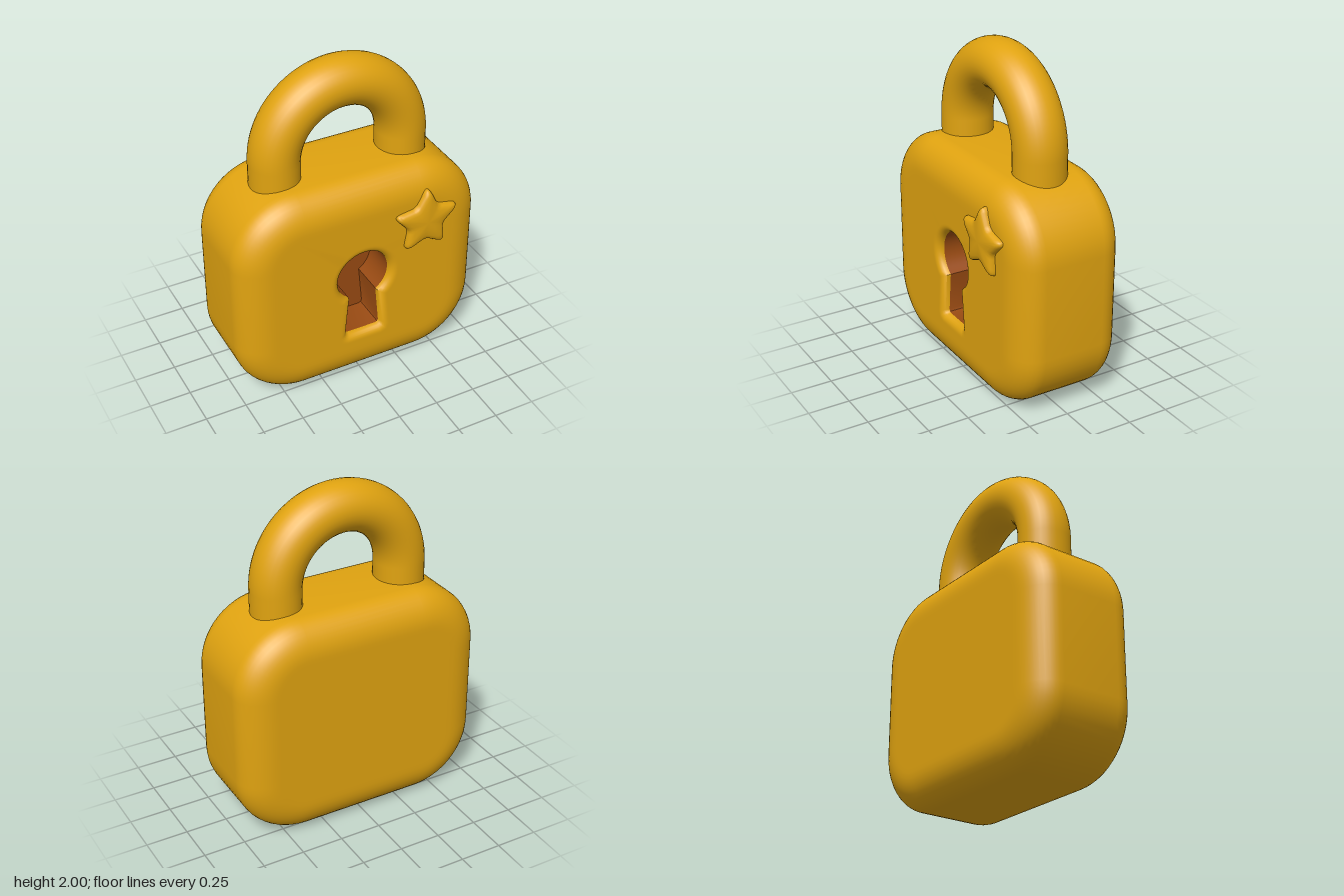
import * as THREE from 'three';
import { mergeGeometries, toCreasedNormals } from 'three/addons/utils/BufferGeometryUtils.js';

const gold = new THREE.MeshStandardMaterial({ color: 0xe0a310 });
gold.name = 'gold';
const brown = new THREE.MeshStandardMaterial({ color: 0x984a12 });
brown.name = 'keyhole brown';

const FRONT = 0.32, BACK = -0.365;

// Skin between closed loops of [x, y, z]; loops run anticlockwise seen from +z.
function loft(rings) {
  const n = rings[0].length, index = [];
  for (let i = 0; i < rings.length - 1; i++) {
    for (let j = 0; j < n; j++) {
      const a = i * n + j, b = i * n + (j + 1) % n;
      index.push(a, b, b + n, a, b + n, a + n);
    }
  }
  const g = new THREE.BufferGeometry();
  g.setAttribute('position', new THREE.Float32BufferAttribute(rings.flat(2), 3));
  g.setIndex(index);
  return g;
}

const at = (loop, z) => loop.map(([x, y]) => [x, y, z]);
const vec = (loop) => loop.map(([x, y]) => new THREE.Vector2(x, y));

// Flat face filling a loop
function cap(loop, z, hole) {
  const shape = new THREE.Shape(vec(loop));
  if (hole) shape.holes.push(new THREE.Path(vec(hole)));
  const g = new THREE.ShapeGeometry(shape).translate(0, 0, z);
  g.deleteAttribute('uv');
  g.deleteAttribute('normal');
  return g;
}

function finish(parts, crease) {
  const g = mergeGeometries(parts.map((p) => p.toNonIndexed()));
  g.computeVertexNormals();
  return toCreasedNormals(g, crease);
}

function mesh(name, geometry, material) {
  const m = new THREE.Mesh(geometry, material);
  m.name = name;
  return m;
}

// Rounded body outline, shrunk by inset
function bodyLoop(inset) {
  const r = 0.4 - inset, pts = [];
  const corners = [[0.37, 0.95], [-0.37, 0.95], [-0.37, 0.405], [0.37, 0.405]];
  corners.forEach(([cx, cy], k) => {
    for (let i = 0; i <= 14; i++) {
      const a = (k + i / 14) * Math.PI / 2;
      pts.push([cx + r * Math.cos(a), cy + r * Math.sin(a)]);
    }
  });
  return pts;
}

// Keyhole outline, grown by e
function keyholeLoop(e) {
  const r = 0.165 + e, a0 = Math.acos((0.09 + e) / r), pts = [];
  for (let i = 0; i <= 36; i++) {
    const a = -a0 + (Math.PI + 2 * a0) * i / 36;
    pts.push([r * Math.cos(a), 0.727 + r * Math.sin(a)]);
  }
  const w = 0.112 + e, b = 0.328 - e, c = 0.02 + e * 0.6;
  const corner = [[w, b + c], [w - c * 0.3, b + c * 0.3], [w - c, b]];
  corner.forEach(([x, y]) => pts.push([-x, y]));
  corner.reverse().forEach(([x, y]) => pts.push([x, y]));
  return pts;
}

function bodyGeometry() {
  const inset = 0.2, depth = 0.16, steps = 10, back = [], front = [];
  for (let i = 0; i <= steps; i++) {
    const a = i / steps * Math.PI / 2;
    const loop = bodyLoop(inset * (1 - Math.sin(a)));
    const d = depth * (1 - Math.cos(a));
    back.push(at(loop, BACK + d));
    front.unshift(at(loop, FRONT - d));
  }
  const inner = bodyLoop(0.23);
  const shell = loft([at(inner, BACK), ...back, ...front, at(inner, FRONT)]);

  // Soft lip rolling into the keyhole
  const lip = [at(keyholeLoop(0.055), FRONT)];
  for (let i = 0; i <= 6; i++) {
    const a = i / 6 * Math.PI / 2;
    lip.push(at(keyholeLoop(0.045 * (1 - Math.sin(a))), FRONT - 0.045 * (1 - Math.cos(a))));
  }
  const backFace = cap(inner, -BACK).rotateY(Math.PI);
  return finish([shell, loft(lip), cap(inner, FRONT, keyholeLoop(0.055)), backFace], 0.8);
}

function recessGeometry() {
  const loop = keyholeLoop(0), floor = FRONT - 0.25;
  return finish([loft([at(loop, FRONT - 0.045), at(loop, floor)]), cap(loop, floor)], 0.5);
}

// Puffy five-pointed star with rounded tips
function starGeometry() {
  const p = [];
  for (let i = 0; i < 10; i++) {
    const a = Math.PI / 2 - 0.04 + i * Math.PI / 5, r = i % 2 ? 0.118 : 0.225;
    p.push(new THREE.Vector2(r * Math.cos(a), r * Math.sin(a)));
  }
  const shape = new THREE.Shape();
  for (let i = 0; i < 10; i++) {
    const t = i % 2 ? 0.2 : 0.36;
    const start = p[i].clone().lerp(p[(i + 9) % 10], t);
    const end = p[i].clone().lerp(p[(i + 1) % 10], t);
    if (i) shape.lineTo(start.x, start.y); else shape.moveTo(start.x, start.y);
    shape.quadraticCurveTo(p[i].x, p[i].y, end.x, end.y);
  }
  shape.closePath();
  const outline = shape.getPoints(6).slice(0, -1);
  const rings = [[1, 0.29], [1, 0.325], [0.98, 0.338], [0.93, 0.348], [0.85, 0.355],
    [0.7, 0.36], [0.4, 0.364], [0, 0.365]];
  const g = loft(rings.map(([s, z]) => outline.map((v) => [0.38 + v.x * s, 1.015 + v.y * s, z])));
  return finish([g], 1.0);
}

// Shackle centre line: straight leg, half circle, straight leg
class ShacklePath extends THREE.Curve {
  getPoint(t, target = new THREE.Vector3()) {
    const R = 0.396, base = 1.2, spring = 1.45;
    if (t < 0.15) return target.set(R, base + (spring - base) * t / 0.15, 0);
    if (t > 0.85) return target.set(-R, base + (spring - base) * (1 - t) / 0.15, 0);
    const a = (t - 0.15) / 0.7 * Math.PI;
    return target.set(R * Math.cos(a), spring + 0.403 * Math.sin(a), 0);
  }
}

export function createModel() {
  const group = new THREE.Group();
  group.name = 'padlock';
  const shackle = new THREE.TubeGeometry(new ShacklePath(), 64, 0.147, 32)
    .scale(1, 1, 1.055).translate(0, 0, -0.021);
  group.add(
    mesh('body', bodyGeometry(), gold),
    mesh('keyholeRecess', recessGeometry(), brown),
    mesh('star', starGeometry(), gold),
    mesh('shackle', shackle, gold),
  );
  return group;
}
